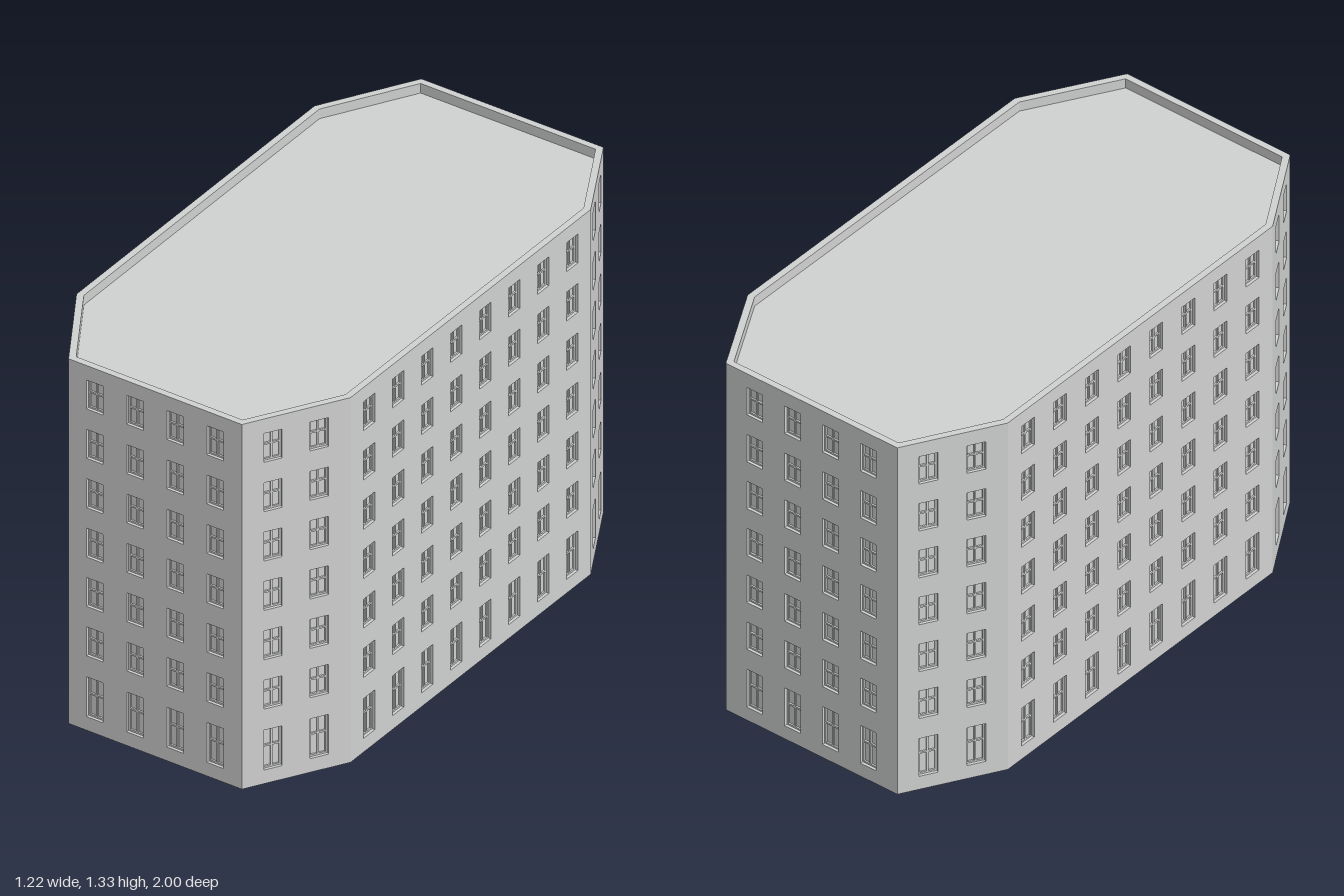
import * as THREE from 'three';
import { mergeGeometries } from 'three/addons/utils/BufferGeometryUtils.js';

const concrete = new THREE.MeshStandardMaterial({ color: 0xd0d2d1 });
concrete.name = 'pale grey';

const HEIGHT = 1.33, ROOF = 1.295, RECESS = 0.016, PARAPET = 0.023;
const WIN_W = 0.062, FRAME = 0.006;

// Footprint corners [x, z], counter-clockwise seen from above, with windows per wall
const corners = [
  [-0.165, 0.995], [0.475, 0.895], [0.61, 0.555], [0.405, -0.72],
  [0.19, -1.0], [-0.48, -0.892], [-0.61, -0.555], [-0.4, 0.715],
];
const columns = [4, 2, 8, 2, 4, 2, 8, 2];

// Moves every footprint edge inward by d
function inset(d) {
  const n = corners.length;
  return corners.map(([x, z], i) => {
    const p = corners[(i + n - 1) % n], q = corners[(i + 1) % n];
    const a = new THREE.Vector2(x - p[0], z - p[1]).normalize();
    const b = new THREE.Vector2(q[0] - x, q[1] - z).normalize();
    const na = new THREE.Vector2(a.y, -a.x), nb = new THREE.Vector2(b.y, -b.x);
    const m = na.clone().add(nb).multiplyScalar(d / (1 + na.dot(nb)));
    return [x + m.x, z + m.y];
  });
}

const toPoints = (list) => list.map(([x, z]) => new THREE.Vector2(x, -z));

// Upright prism from a footprint shape
function prism(shape, y0, y1) {
  const g = new THREE.ExtrudeGeometry(shape, { depth: y1 - y0, bevelEnabled: false });
  return g.rotateX(-Math.PI / 2).translate(0, y0, 0);
}

function rect(x0, y0, x1, y1, Type = THREE.Path) {
  return new Type([[x0, y0], [x1, y0], [x1, y1], [x0, y1]].map((p) => new THREE.Vector2(...p)));
}

// Window frame with a mullion and a transom, standing on its lower edge
function frameGeometry(h) {
  const w = WIN_W / 2, bar = FRAME / 2, t = h * 0.56;
  const s = rect(-w, 0, w, h, THREE.Shape);
  for (const [x0, x1] of [[-w + FRAME, -bar], [bar, w - FRAME]]) {
    s.holes.push(rect(x0, FRAME, x1, t - bar), rect(x0, t + bar, x1, h - FRAME));
  }
  return new THREE.ExtrudeGeometry(s, { depth: 0.006, bevelEnabled: false });
}

function mesh(name, geometry) {
  const m = new THREE.Mesh(geometry, concrete);
  m.name = name;
  return m;
}

// Storeys as [sill height, window height]; the ground floor is taller
const storeys = [[0.05, 0.145]];
for (let i = 1; i < 7; i++) storeys.push([0.092 + i * 0.18, 0.105]);

function buildWall(a, b, count) {
  const wall = new THREE.Group();
  wall.name = 'wall';
  const dx = b[0] - a[0], dz = b[1] - a[1], length = Math.hypot(dx, dz);
  const pitch = count === 4 ? 0.15 : 0.156;
  const panel = rect(0, 0, length, ROOF, THREE.Shape);
  const frames = [];
  for (let c = 0; c < count; c++) {
    const x = length / 2 + (c - (count - 1) / 2) * pitch;
    for (const [y, h] of storeys) {
      panel.holes.push(rect(x - WIN_W / 2, y, x + WIN_W / 2, y + h));
      frames.push(frameGeometry(h).translate(x, y, -RECESS));
    }
  }
  const facade = new THREE.ExtrudeGeometry(panel, { depth: RECESS, bevelEnabled: false });
  wall.add(mesh('facade', facade.translate(0, 0, -RECESS)));
  wall.add(mesh('windowFrames', mergeGeometries(frames)));
  wall.position.set(a[0], 0, a[1]);
  wall.rotation.y = Math.atan2(-dz, dx);
  return wall;
}

export function createModel() {
  const model = new THREE.Group();
  model.name = 'apartmentBlock';

  // Core gives the window panes, flat roof and underside
  model.add(mesh('core', prism(new THREE.Shape(toPoints(inset(RECESS))), 0, ROOF)));

  // Eight walls with punched windows
  corners.forEach((a, i) => {
    model.add(buildWall(a, corners[(i + 1) % corners.length], columns[i]));
  });

  // Parapet round the roof edge
  const rim = new THREE.Shape(toPoints(corners));
  rim.holes.push(new THREE.Path(toPoints(inset(PARAPET))));
  model.add(mesh('parapet', prism(rim, ROOF, HEIGHT)));

  return model;
}
